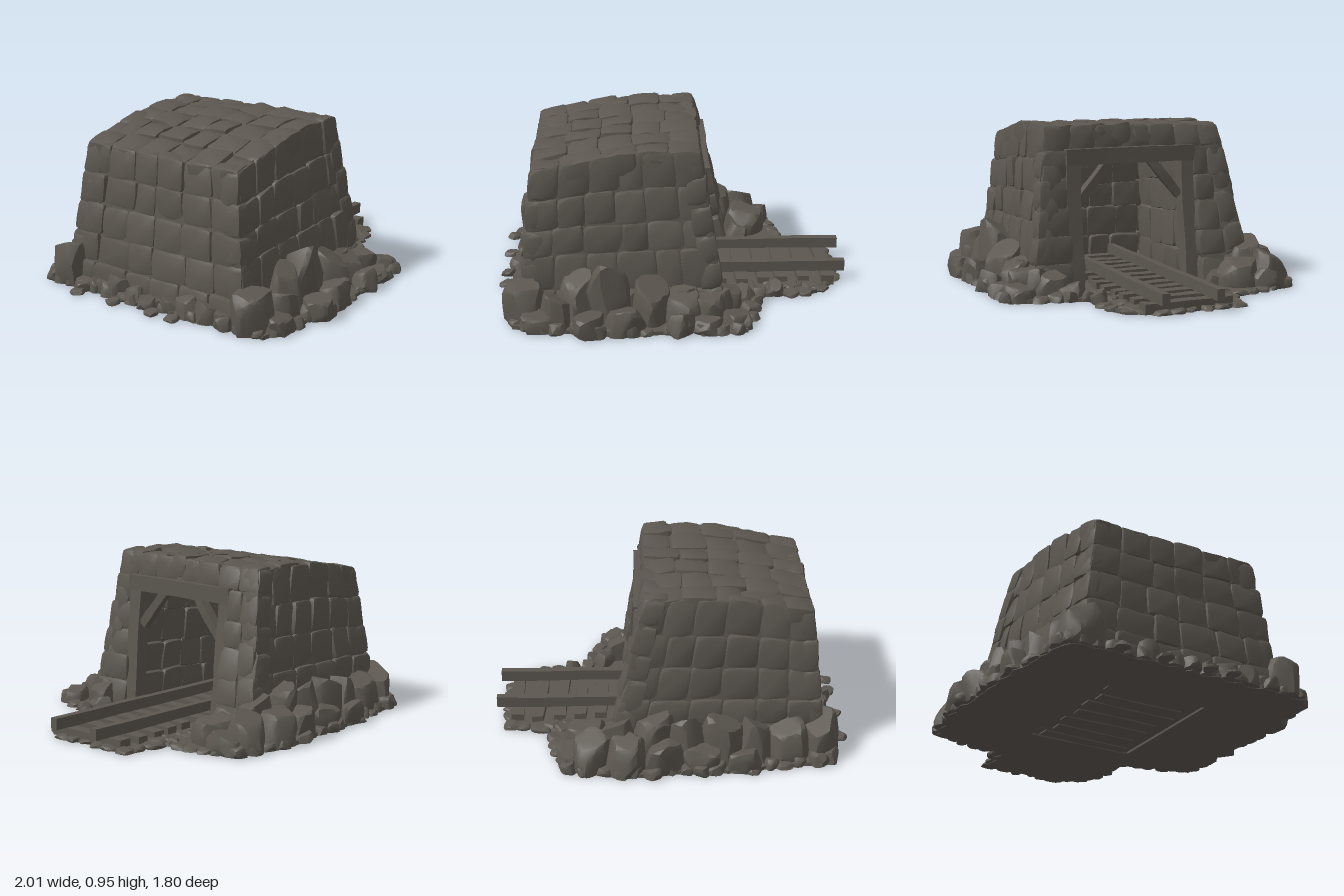
import * as THREE from 'three';
import { mergeGeometries, mergeVertices, toCreasedNormals } from 'three/addons/utils/BufferGeometryUtils.js';

const V = (x, y, z) => new THREE.Vector3(x, y, z);

export function createModel() {
  const model = new THREE.Group();
  model.name = 'mineEntrance';
  const rock = new THREE.MeshStandardMaterial({ name: 'grey brown rock', color: 0x5c5750, side: THREE.DoubleSide });

  let seed = 7;
  const rnd = () => (seed = (seed * 16807) % 2147483647) / 2147483647;
  const jit = (a) => (rnd() * 2 - 1) * a;

  const add = (name, geos) => {
    const mesh = new THREE.Mesh(mergeGeometries(geos), rock);
    mesh.name = name;
    model.add(mesh);
  };

  // Moves every vertex by a rule, then keeps only the sharp creases hard
  const reshape = (geo, rule, crease = 0.6) => {
    geo.deleteAttribute('uv');
    geo.deleteAttribute('normal');
    geo = mergeVertices(geo, 1e-4);
    const pos = geo.attributes.position;
    const p = V(0, 0, 0);
    for (let i = 0; i < pos.count; i++) {
      rule(p.fromBufferAttribute(pos, i));
      pos.setXYZ(i, p.x, p.y, p.z);
    }
    return toCreasedNormals(geo, crease);
  };

  // The roof line arches gently between back and front; nothing sinks below the ground
  const arch = (p) => {
    const t = THREE.MathUtils.clamp((p.x + 0.77) / 0.9, 0, 1);
    p.y += 0.035 * Math.sin(Math.PI * t) * Math.max(0, p.y / 0.9) ** 2;
    p.y = Math.max(0.006, p.y);
    return p;
  };

  // Masonry panel: a grid of pillowed stones across four corners, with a backing sheet.
  // facing is 1 for the outside of the mound, -1 for the tunnel lining
  const wall = (name, a, b, c, d, cols, rows, depth, facing = 1) => {
    const outward = a.clone().add(c).multiplyScalar(0.5).sub(V(-0.25, 0.4, 0)).multiplyScalar(facing);
    let n = b.clone().sub(a).cross(d.clone().sub(a)).normalize();
    if (n.dot(outward) < 0) {
      [a, b, c, d] = [b, a, d, c];
      n = n.negate();
    }
    const place = (p, u, v, w) => {
      const low = a.clone().lerp(b, u), high = d.clone().lerp(c, u);
      return arch(p.copy(low.lerp(high, v)).addScaledVector(n, w));
    };
    const cuts = (count, amount) => Array.from({ length: count + 1 }, (_, i) =>
      (i + (i % count ? jit(amount) : 0)) / count);
    const geos = [];
    const vs = cuts(rows, 0.1);
    for (let r = 0; r < rows; r++) {
      const us = cuts(cols, 0.14);
      for (let k = 0; k < cols; k++) {
        const u = (us[k] + us[k + 1]) / 2, v = (vs[r] + vs[r + 1]) / 2 + jit(0.01);
        const hu = (us[k + 1] - us[k]) * 0.545, hv = (vs[r + 1] - vs[r]) * 0.545;
        const out = jit(0.007), tu = jit(0.008), tv = jit(0.01), phase = rnd() * 6, skew = jit(0.06);
        geos.push(reshape(new THREE.BoxGeometry(2, 2, 2, 4, 4, 2), (p) => {
          const q = p.clone().set(...p.toArray().map((e) => Math.sin(e * Math.PI / 2)));
          const [qx, qy, qz] = q.toArray().map(Math.abs);
          q.multiplyScalar(Math.max(qx, qy, qz) / Math.hypot(qx ** 3, qy ** 3, qz ** 3) ** (1 / 3));
          const bump = 0.005 * Math.sin(4 * q.x + phase) * Math.cos(3 * q.y + phase);
          place(p, u + hu * (q.x + skew * q.y), v + hv * (q.y - skew * q.x),
            (q.z - 1) * depth / 2 + out + tu * q.x + tv * q.y + bump);
        }, 0.8));
      }
    }
    geos.push(reshape(new THREE.PlaneGeometry(1, 1, 6, 4), (p) =>
      place(p, 0.01 + 0.98 * (p.x + 0.5), 0.01 + 0.98 * (p.y + 0.5), -0.02)));
    add(name, geos);
  };

  // Four leaning walls and the roof; the right front corner flares out further
  const BL = V(-0.865, 0, 0.61), BR = V(-0.865, 0, -0.63), FL = V(0.29, 0, 0.64), FR = V(0.37, 0, -0.69);
  const bl = V(-0.78, 0.83, 0.51), br = V(-0.78, 0.83, -0.51), fl = V(0.14, 0.935, 0.52), fr = V(0.14, 0.915, -0.55);
  const midL = V(0.17, 0.79, 0.54), midR = V(0.175, 0.79, -0.572);
  wall('leftWall', BL, FL, fl, bl, 6, 5, 0.12);
  wall('rightWall', FR, BR, br, fr, 6, 5, 0.12);
  wall('backWall', BR, BL, bl, br, 6, 5, 0.12);
  wall('roof', bl, fl, fr, br, 5, 6, 0.13);
  wall('frontLeftPillar', V(0.28, 0, 0.39), FL, midL, V(0.17, 0.79, 0.39), 1, 5, 0.12);
  wall('frontRightPillar', V(0.35, 0, -0.37), FR, midR, V(0.175, 0.79, -0.37), 2, 5, 0.12);
  wall('frontTopCourse', midR, midL, fl, fr, 7, 1, 0.12);

  // Tunnel lining, its ceiling sinking towards the end
  for (const s of [1, -1]) {
    wall(s > 0 ? 'tunnelLeftWall' : 'tunnelRightWall', V(-0.53, 0, s * 0.34), V(0.2, 0, s * 0.35),
      V(0.1, 0.76, s * 0.35), V(-0.53, 0.67, s * 0.34), 4, 4, 0.05, -1);
  }
  wall('tunnelEnd', V(-0.53, 0, -0.34), V(-0.53, 0, 0.34), V(-0.53, 0.67, 0.34), V(-0.53, 0.67, -0.34), 4, 4, 0.05, -1);
  wall('tunnelCeiling', V(-0.53, 0.66, -0.34), V(0.1, 0.76, -0.35), V(0.1, 0.76, 0.35), V(-0.53, 0.66, 0.34), 4, 4, 0.05, -1);

  // Rough timber: a slightly crooked box between two points
  const beam = (from, to, w, t) => {
    const dir = to.clone().sub(from);
    const len = dir.length(), phase = rnd() * 6;
    const geo = reshape(new THREE.BoxGeometry(w, t, len, 1, 1, 6), (p) => {
      const s = 1 + 0.07 * Math.sin(p.z * 23 + phase);
      p.x = p.x * s + 0.004 * Math.sin(p.z * 9 + phase);
      p.y *= s;
    });
    const m = new THREE.Matrix4().lookAt(to, from, Math.abs(dir.y) > 0.9 * len ? V(1, 0, 0) : V(0, 1, 0));
    return geo.applyMatrix4(m.setPosition(from.clone().add(to).multiplyScalar(0.5)));
  };
  add('doorPosts', [
    beam(V(0.21, 0.01, 0.365), V(0.145, 0.73, 0.365), 0.085, 0.08),
    beam(V(0.23, 0.01, -0.335), V(0.145, 0.73, -0.335), 0.075, 0.08),
  ]);
  add('lintel', [beam(V(0.15, 0.755, -0.38), V(0.15, 0.755, 0.41), 0.095, 0.09)]);
  add('cornerBraces', [1, -1].map((s) =>
    beam(V(0.165, 0.51, s * 0.305 + 0.015), V(0.15, 0.72, s * 0.13 + 0.015), 0.05, 0.05)));

  // Track
  add('rails', [-0.15, 0.17].map((z) => beam(V(-0.52, 0.093, z), V(1, 0.093, z), 0.042, 0.06)));
  const sleepers = [];
  for (let x = -0.49; x < 0.95; x += 0.125) {
    sleepers.push(beam(V(x + jit(0.01), 0.034, -0.26 + jit(0.02)), V(x + jit(0.015), 0.034, 0.27 + jit(0.02)), 0.07, 0.055));
  }
  add('sleepers', sleepers);

  // Ragged ground slab, open beneath the tunnel floor
  const outline = [[-0.9, -0.72], [-0.4, -0.8], [0.25, -0.85], [0.58, -0.77], [0.66, -0.48], [0.66, -0.34],
    [0.92, -0.31], [0.94, 0.18], [0.82, 0.36], [0.5, 0.4], [0.38, 0.8], [-0.4, 0.85], [-0.88, 0.74], [-0.9, 0]];
  const edge = [];
  outline.forEach(([x, z], i) => {
    const [x2, z2] = outline[(i + 1) % outline.length];
    const steps = Math.ceil(Math.hypot(x2 - x, z2 - z) / 0.05);
    for (let k = 0; k < steps; k++) {
      edge.push([x + (x2 - x) * k / steps + jit(0.018), z + (z2 - z) * k / steps + jit(0.018)]);
    }
  });
  const slab = new THREE.Shape(edge.map(([x, z]) => new THREE.Vector2(x, -z)));
  slab.holes.push(new THREE.Path([[-0.53, -0.32], [-0.53, 0.32], [0.3, 0.32], [0.3, -0.32]].map((p) => new THREE.Vector2(...p))));
  const ground = new THREE.ExtrudeGeometry(slab, { depth: 0.022, bevelEnabled: false });
  add('ground', [ground.rotateX(-Math.PI / 2)]);
  add('tunnelFloor', [new THREE.BoxGeometry(0.85, 0.008, 0.66).translate(-0.115, 0.018, 0)]);

  // Boulder: a sphere cut by random planes, blunt on top and flattened at the ground
  const boulder = (x, z, rx, rz, h, detail = 3) => {
    const cuts = Array.from({ length: 11 }, () => [V(jit(1), jit(0.45) + 0.1, jit(1)).normalize(), 0.74 + rnd() * 0.16]);
    cuts.push([V(jit(0.3), 1, jit(0.3)).normalize(), 0.62]);
    const turn = rnd() * 6;
    return reshape(new THREE.IcosahedronGeometry(1.1, detail), (p) => {
      for (const [n, d] of cuts) {
        const over = p.dot(n) - d;
        if (over > 0) p.addScaledVector(n, -over);
      }
      p.applyAxisAngle(V(0, 1, 0), turn);
      p.set(x + p.x * rx * 1.12, Math.max(0.004, h * (0.3 + p.y)), z + p.z * rz * 1.12);
    }, 0.5);
  };
  // x, z, half width, half depth, height
  const leftPile = [[-0.82, 0.63, 0.11, 0.12, 0.24], [-0.65, 0.68, 0.1, 0.1, 0.17], [-0.54, 0.64, 0.1, 0.1, 0.27],
    [-0.36, 0.63, 0.13, 0.12, 0.32], [-0.47, 0.81, 0.09, 0.09, 0.12], [-0.13, 0.67, 0.11, 0.1, 0.23],
    [0.05, 0.67, 0.1, 0.1, 0.17], [0.02, 0.81, 0.08, 0.07, 0.12], [0.19, 0.66, 0.1, 0.1, 0.16],
    [0.3, 0.55, 0.08, 0.09, 0.14], [0.33, 0.74, 0.07, 0.08, 0.09], [-0.28, 0.79, 0.1, 0.09, 0.14],
    [-0.74, 0.75, 0.1, 0.07, 0.1], [0.39, 0.45, 0.06, 0.07, 0.09], [0.17, 0.79, 0.09, 0.07, 0.08]];
  const rightPile = [[-0.83, -0.61, 0.1, 0.12, 0.23], [-0.63, -0.65, 0.11, 0.1, 0.21], [-0.46, -0.65, 0.1, 0.1, 0.24],
    [-0.3, -0.66, 0.12, 0.11, 0.27], [-0.09, -0.66, 0.11, 0.11, 0.25], [0.1, -0.65, 0.11, 0.11, 0.29],
    [0.29, -0.64, 0.11, 0.11, 0.25], [0.46, -0.54, 0.11, 0.12, 0.17], [0.44, -0.73, 0.11, 0.11, 0.19],
    [0.24, -0.77, 0.1, 0.09, 0.21], [0.56, -0.66, 0.07, 0.1, 0.12], [-0.17, -0.77, 0.1, 0.07, 0.15],
    [-0.4, -0.77, 0.09, 0.07, 0.12], [0.05, -0.77, 0.1, 0.09, 0.18], [0.42, -0.42, 0.07, 0.07, 0.1]];
  add('leftBoulders', leftPile.map((b) => boulder(...b)));
  add('rightBoulders', rightPile.map((b) => boulder(...b)));

  // Rubble packed against the foot of the walls
  const rubble = [];
  for (let x = -0.73; x < 0.25; x += 0.16) {
    for (const z of [0.61, -0.62]) rubble.push(boulder(x + jit(0.02), z, 0.08, 0.06, 0.16 + rnd() * 0.05, 2));
  }
  for (let z = -0.48; z < 0.5; z += 0.12) rubble.push(boulder(-0.865 + jit(0.015), z, 0.05, 0.065, 0.06 + rnd() * 0.06, 2));
  add('wallFootRubble', rubble);

  // Small stones behind the mound, along the ragged edge and beside the track
  const pebbles = [-0.46, -0.2, 0.07, 0.21].map((z) => boulder(-0.96, z, 0.042, 0.04, 0.03, 2));
  edge.forEach(([x, z], i) => {
    if (i % 2) return;
    const r = 0.03 + rnd() * 0.025;
    pebbles.push(boulder(x * 0.985, z * 0.985, r, r, x > 0.6 ? 0.028 : 0.03 + rnd() * 0.05, 2));
  });
  for (let i = 0; i < 26; i++) {
    const r = 0.03 + rnd() * 0.035;
    pebbles.push(boulder(0.34 + rnd() * 0.48, (i % 2 ? 1 : -1) * (0.27 + rnd() * 0.07), r, r, 0.03 + rnd() * 0.01, 2));
  }
  add('pebbles', pebbles);
  return model;
}
